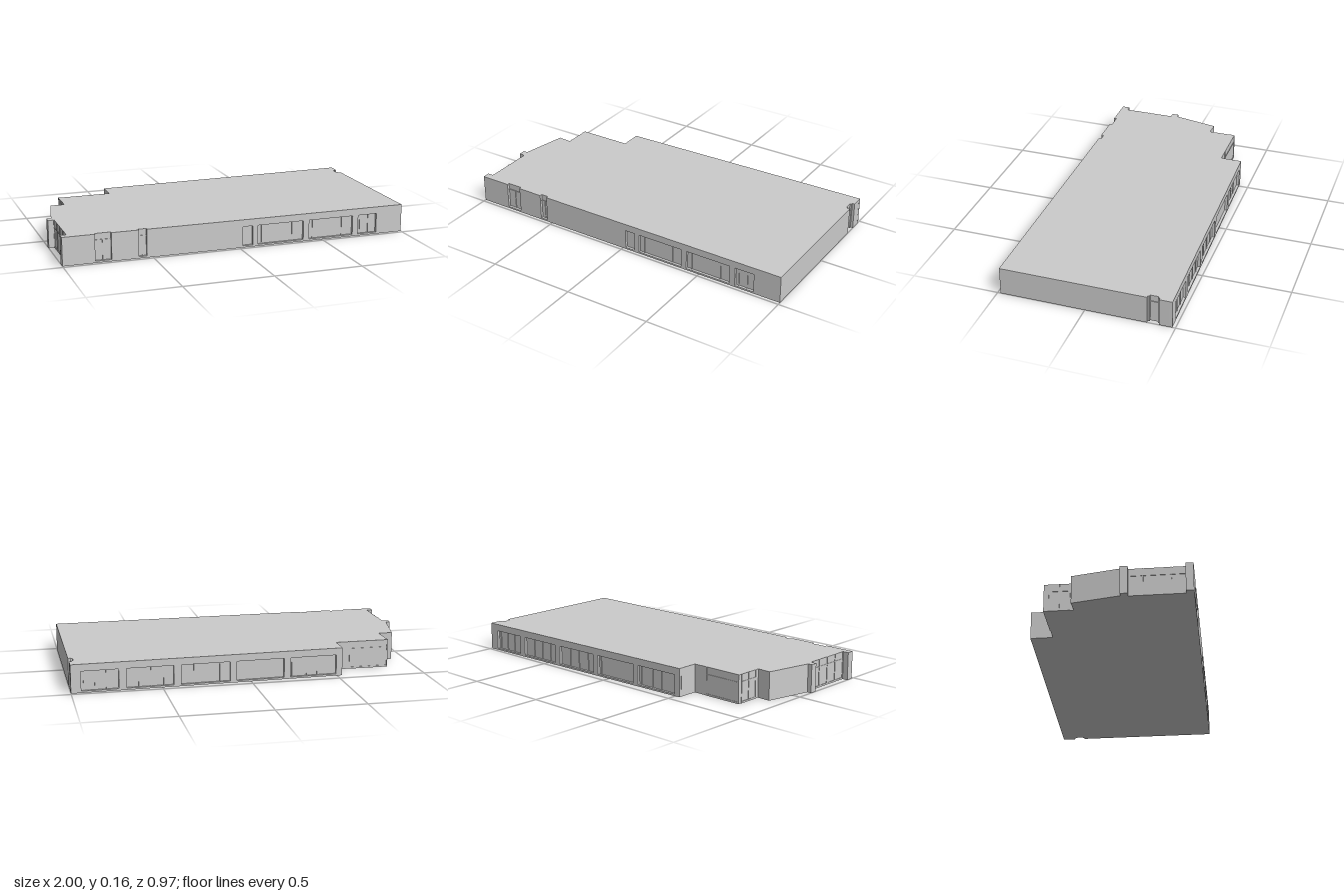
import * as THREE from 'three';

const H = 0.16, SILL = 0.01, HEAD = 0.12, DEPTH = 0.015;
const mat = new THREE.MeshStandardMaterial({ color: 0xcccccc, flatShading: true });

function add(parent, geometry, name) {
  const mesh = new THREE.Mesh(geometry, mat);
  mesh.name = name;
  parent.add(mesh);
  return mesh;
}

// Group whose local x runs from a to b (x, z pairs) and whose local z points outwards
function wallFrame(parent, a, b, name) {
  const g = new THREE.Group();
  g.name = name;
  g.position.set(a[0], 0, a[1]);
  g.rotation.y = Math.atan2(a[1] - b[1], b[0] - a[0]);
  parent.add(g);
  return g;
}

function bar(parent, x0, x1, y0, y1, z0, z1, name) {
  add(parent, new THREE.BoxGeometry(x1 - x0, y1 - y0, z1 - z0), name)
    .position.set((x0 + x1) / 2, (y0 + y1) / 2, (z0 + z1) / 2);
}

// Facade panel with window holes and full-height recesses open at the top
function facade(parent, a, b, windows, recesses, name) {
  const g = wallFrame(parent, a, b, name);
  const length = Math.hypot(b[0] - a[0], b[1] - a[1]);
  const shape = new THREE.Shape().moveTo(0, 0).lineTo(length, 0).lineTo(length, H);
  for (const [x0, x1] of [...recesses].reverse()) {
    shape.lineTo(x1, H).lineTo(x1, SILL).lineTo(x0, SILL).lineTo(x0, H);
  }
  shape.lineTo(0, H);
  for (const [x0, x1] of windows) {
    shape.holes.push(new THREE.Path().moveTo(x0, SILL).lineTo(x0, HEAD).lineTo(x1, HEAD).lineTo(x1, SILL));
  }
  const geo = new THREE.ExtrudeGeometry(shape, { depth: DEPTH, bevelEnabled: false });
  geo.translate(0, 0, -DEPTH);
  add(g, geo, name + 'Panel');
  // Mullions stand slightly proud of the glass
  for (const [x0, x1, ...splits] of windows) {
    for (const s of splits) {
      const x = x0 + (x1 - x0) * s;
      bar(g, x - 0.003, x + 0.003, SILL, HEAD, -DEPTH - 0.002, -DEPTH + 0.004, 'mullion');
    }
  }
  // Door frames in the recesses
  for (const [x0, x1] of recesses) {
    bar(g, x0, x1, HEAD, HEAD + 0.005, -DEPTH - 0.002, -DEPTH + 0.004, 'transom');
    const x = x0 + (x1 - x0) * 0.5;
    bar(g, x - 0.002, x + 0.002, SILL, HEAD, -DEPTH - 0.002, -DEPTH + 0.004, 'doorMullion');
  }
}

// Shallow frame on a glazed wall: transom, sill and evenly spaced posts
function glazing(parent, a, b, count, name) {
  const g = wallFrame(parent, a, b, name);
  const length = Math.hypot(b[0] - a[0], b[1] - a[1]);
  bar(g, 0, length, HEAD - 0.005, HEAD, -0.002, 0.003, 'transom');
  bar(g, 0, length, 0, SILL, -0.002, 0.003, 'sill');
  for (let i = 0; i <= count; i++) {
    const x = (length - 0.005) * i / count;
    bar(g, x, x + 0.005, 0, H, -0.002, 0.003, 'post');
  }
}

export function createModel() {
  const building = new THREE.Group();
  building.name = 'building';

  // Main block; front and back edges are set in by the facade depth
  const plan = [
    [-1, 0.482 - DEPTH], [1, 0.482 - DEPTH], [1, -0.345], [0.985, -0.345], [0.985, -0.355],
    [0.975, -0.355], [0.975, -0.4], [0.985, -0.4], [0.985, -0.41], [1, -0.41],
    [1, -0.483 + DEPTH], [-0.53, -0.445 + DEPTH], [-0.53, -0.32], [-0.84, -0.32],
    [-0.84, -0.16], [-0.92, -0.165], [-0.975, 0.1], [-1, 0.1], [-1, 0.14],
    [-0.965, 0.14], [-0.965, 0.44], [-1, 0.44],
  ];
  const core = new THREE.ExtrudeGeometry(
    new THREE.Shape(plan.map(([x, z]) => new THREE.Vector2(x, -z))),
    { depth: H, bevelEnabled: false });
  core.rotateX(-Math.PI / 2);
  add(building, core, 'mainBlock');

  // Street front: four shop windows and two recessed doors
  facade(building, [-1, 0.482], [1, 0.482],
    [[1.02, 1.08], [1.11, 1.385, 0.1, 0.77], [1.42, 1.69, 0.1, 0.77], [1.725, 1.84, 0.15, 0.6]],
    [[0.18, 0.27], [0.422, 0.467]], 'frontFacade');

  // Rear front: five wide windows
  facade(building, [1, -0.483], [-0.53, -0.445],
    [[0.056, 0.261, 0.08, 0.38, 0.68], [0.303, 0.564, 0.27, 0.53, 0.8],
      [0.606, 0.881, 0.27, 0.53, 0.8], [0.917, 1.19, 0.05], [1.227, 1.495, 0.05, 0.37, 0.6]],
    [], 'backFacade');

  // Glazed set-backs on the right-hand end
  glazing(building, [-0.61, -0.32], [-0.84, -0.32], 1, 'rearGlazing');
  glazing(building, [-0.84, -0.3], [-0.84, -0.18], 2, 'cornerGlazing');
  glazing(building, [-0.965, 0.14], [-0.965, 0.44], 4, 'sideGlazing');

  // Side door in the notch of the left-hand end
  const door = wallFrame(building, [0.975, -0.355], [0.975, -0.4], 'sideDoor');
  bar(door, 0, 0.045, HEAD, HEAD + 0.005, -0.002, 0.004, 'transom');

  return building;
}
